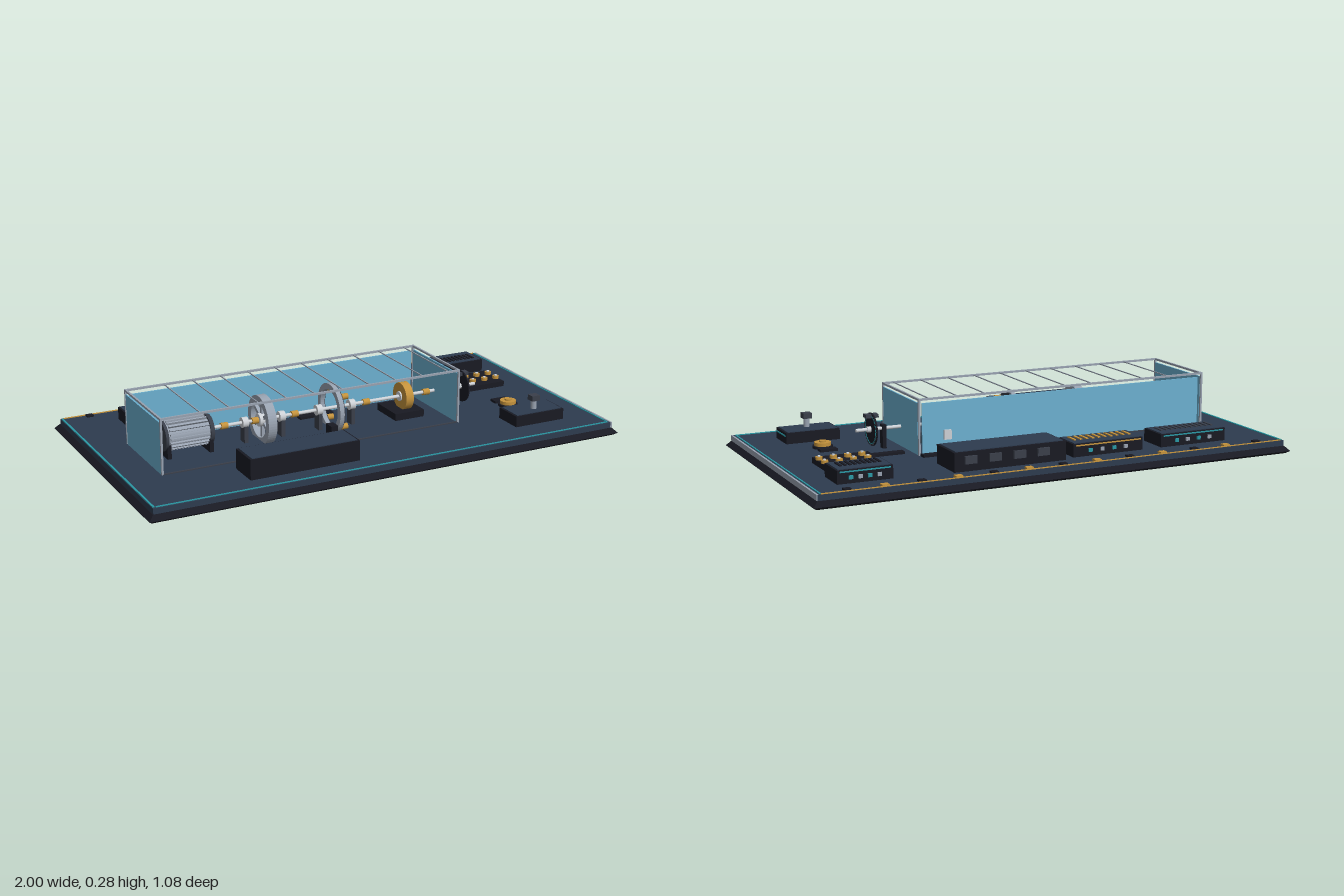
import * as THREE from 'three';

export function createModel() {
  const root = new THREE.Group();
  const mat = (name, color, side = THREE.FrontSide) => {
    const m = new THREE.MeshStandardMaterial({ color, side });
    m.name = name;
    return m;
  };
  const black = mat('black', 0x191a23);
  const navy = mat('navy', 0x2d3b4f);
  const glass = mat('glass blue', 0x6cb0d0, THREE.DoubleSide);
  const steel = mat('steel', 0x98a2b0);
  const silver = mat('silver', 0xccd0d5);
  const gold = mat('brass', 0xc3923c);
  const teal = mat('teal', 0x2a98a4);
  const gray = mat('dark grey', 0x3a3f4a);

  const add = (name, geo, m, x = 0, y = 0, z = 0, parent = root) => {
    const mesh = new THREE.Mesh(geo, m);
    mesh.name = name;
    mesh.position.set(x, y, z);
    parent.add(mesh);
    return mesh;
  };
  // Box given by its limits on each axis
  const box = (name, m, x0, x1, y0, y1, z0, z1) =>
    add(name, new THREE.BoxGeometry(x1 - x0, y1 - y0, z1 - z0), m, (x0 + x1) / 2, (y0 + y1) / 2, (z0 + z1) / 2);
  // Slab whose bottom and top have different half sizes
  const slab = (name, m, y0, y1, bx, bz, tx, tz) => {
    const g = new THREE.BoxGeometry(2, y1 - y0, 2);
    const p = g.attributes.position;
    for (let i = 0; i < p.count; i++) {
      const top = p.getY(i) > 0;
      p.setX(i, p.getX(i) * (top ? tx : bx));
      p.setZ(i, p.getZ(i) * (top ? tz : bz));
    }
    g.computeVertexNormals();
    return add(name, g, m, 0, (y0 + y1) / 2, 0);
  };
  const AY = 0.135, AZ = 0.052, FLOOR = 0.056;
  // Cylinder along the drive axis
  const axial = (name, m, x0, x1, r, y = AY, z = AZ, seg = 32) => {
    const g = new THREE.CylinderGeometry(r, r, x1 - x0, seg).rotateZ(Math.PI / 2);
    return add(name, g, m, (x0 + x1) / 2, y, z);
  };
  // Flat ring with a hole, facing along the drive axis
  const ring = (name, m, x0, x1, rOut, rIn) => {
    const s = new THREE.Shape().absarc(0, 0, rOut, 0, Math.PI * 2);
    s.holes.push(new THREE.Path().absarc(0, 0, rIn, 0, Math.PI * 2, true));
    const g = new THREE.ExtrudeGeometry(s, { depth: x1 - x0, bevelEnabled: false, curveSegments: 28 });
    return add(name, g.rotateY(Math.PI / 2), m, x0, AY, AZ);
  };
  const upright = (name, m, x, y0, y1, z, r, seg = 20) =>
    add(name, new THREE.CylinderGeometry(r, r, y1 - y0, seg), m, x, (y0 + y1) / 2, z);

  // Base plinth, feet and deck
  slab('plinthLower', black, 0.004, 0.014, 0.985, 0.525, 1, 0.538);
  slab('plinthUpper', black, 0.014, 0.034, 1, 0.538, 0.98, 0.522);
  for (const sx of [-1, 1]) for (const sz of [-1, 1])
    upright('foot', black, sx * 0.92, 0, 0.006, sz * 0.46, 0.035);
  slab('deck', navy, 0.034, FLOOR, 0.978, 0.52, 0.978, 0.52);
  box('rightEdgeRail', steel, 0.974, 0.982, 0.035, 0.057, -0.52, 0.52);
  box('rightTrim', teal, 0.962, 0.968, FLOOR, 0.059, -0.51, 0.51);
  box('leftTrim', teal, -0.976, -0.968, FLOOR, 0.059, -0.51, 0.51);
  box('frontTrim', teal, -0.965, 0.965, FLOOR, 0.059, 0.507, 0.513);
  box('backTrim', gold, -0.965, 0.965, FLOOR, 0.059, -0.517, -0.511);
  for (let i = -6; i <= 6; i++) {
    const x = i * 0.1435;
    box('edgeContact', i % 2 ? gold : black, x - 0.014, x + 0.014, FLOOR, 0.063, -0.509, -0.485);
  }

  // Guard enclosure: three panels in a thin frame, open front and roof bars
  const X0 = -0.833, X1 = 0.43, Z0 = -0.13, Z1 = 0.238, TOP = 0.274, T = 0.004;
  box('backPanel', glass, X0 + 0.014, X1 - 0.014, FLOOR, 0.258, Z0 + 0.004, Z0 + 0.01);
  for (const x of [X0, X1])
    box('endPanel', glass, x - 0.003, x + 0.003, FLOOR, 0.26, Z0 + 0.008, Z1 - 0.002);
  for (const x of [X0, X1]) {
    for (const z of [Z0, Z1]) box('framePost', steel, x - T, x + T, FLOOR, TOP, z - T, z + T);
    box('frameEndRail', steel, x - T, x + T, TOP - T, TOP + T, Z0 - T, Z1 + T);
  }
  for (const z of [Z0, Z1]) {
    box('frameTopRail', steel, X0, X1, TOP - T, TOP + T, z - T, z + T);
    box('frameFloorRail', gray, X0, X1, FLOOR, 0.06, z - T, z + T);
  }
  for (let i = 0; i < 10; i++) {
    const x = -0.675 + i * 0.1178;
    box('roofBar', steel, x - 0.002, x + 0.002, 0.272, 0.276, Z0, Z1);
  }
  box('panelLatch', silver, 0.3, 0.33, 0.11, 0.148, -0.143, -0.134);

  // Motor with cooling fins, end caps and mounts
  axial('motorBody', steel, -0.755, -0.575, 0.05);
  for (let i = 0; i < 20; i++) {
    const a = i * Math.PI / 10;
    const fin = add('motorFin', new THREE.BoxGeometry(0.16, 0.012, 0.006), steel,
      -0.665, AY + Math.sin(a) * 0.053, AZ + Math.cos(a) * 0.053);
    fin.rotation.x = Math.PI / 2 - a;
  }
  axial('motorRearCap', gray, -0.764, -0.752, 0.058);
  axial('motorFrontCap', gray, -0.582, -0.566, 0.058);
  for (const x of [-0.75, -0.578])
    box('motorMount', black, x - 0.008, x + 0.008, FLOOR, 0.11, AZ - 0.05, AZ + 0.05);

  // Drive shaft with couplings and collars
  axial('shaft', silver, -0.57, 0.62, 0.007, AY, AZ, 20);
  for (const x of [-0.505, -0.375, -0.205, 0.112, 0.388]) axial('brassCoupling', gold, x - 0.014, x + 0.014, 0.013);
  for (const x of [-0.42, -0.262, -0.1, 0.046]) {
    axial('bearingCollar', silver, x - 0.012, x + 0.012, 0.021);
    box('bearingStand', gray, x - 0.008, x + 0.008, FLOOR, AY - 0.014, AZ - 0.02, AZ + 0.02);
  }

  // Flywheel with spokes
  ring('flywheelRim', steel, -0.36, -0.324, 0.098, 0.07);
  axial('flywheelHub', silver, -0.362, -0.322, 0.026);
  for (let i = 0; i < 3; i++)
    add('flywheelSpoke', new THREE.BoxGeometry(0.014, 0.15, 0.014), steel, -0.342, AY, AZ).rotation.x = i * Math.PI / 3;

  // Sensor ring with brass pickups
  ring('sensorRing', steel, -0.053, -0.034, 0.1, 0.076);
  ring('sensorRingFace', gray, -0.034, -0.03, 0.097, 0.08);
  box('sensorFoot', black, -0.1, -0.07, FLOOR, 0.1, 0.12, 0.165);
  for (let i = 0; i < 4; i++) {
    const a = Math.PI / 4 + i * Math.PI / 2;
    axial('ringPickup', gold, -0.03, -0.004, 0.012, AY + Math.sin(a) * 0.088, AZ + Math.cos(a) * 0.088, 16);
  }

  // Brass bearing on a pedestal
  box('bearingPedestal', black, 0.215, 0.345, FLOOR, 0.085, -0.038, 0.115);
  axial('brassBearing', gold, 0.268, 0.302, 0.056);
  axial('bearingBore', silver, 0.262, 0.308, 0.02);

  // Encoder disc outside the guard, with its fork sensor
  axial('encoderDisc', black, 0.553, 0.559, 0.065);
  ring('encoderTrack', teal, 0.559, 0.5605, 0.057, 0.054);
  for (let i = 0; i < 24; i++) {
    const a = i * Math.PI / 12;
    const t = add('encoderMark', new THREE.BoxGeometry(0.002, 0.006, 0.004), gray,
      0.56, AY + Math.cos(a) * 0.061, AZ + Math.sin(a) * 0.061);
    t.rotation.x = a;
  }
  axial('encoderHub', silver, 0.54, 0.575, 0.012);
  box('forkSensor', gray, 0.53, 0.582, 0.182, 0.196, AZ - 0.016, AZ + 0.016);
  box('shaftSupport', black, 0.498, 0.514, FLOOR, 0.15, AZ - 0.014, AZ + 0.014);

  // Front equipment case
  box('frontCase', black, -0.565, -0.115, FLOOR, 0.136, 0.302, 0.434);
  box('frontCaseLid', navy, -0.557, -0.123, 0.136, 0.139, 0.31, 0.428);

  // Rear modules with vent bars and indicator strips
  const module = (x0, x1, bars, n, strip) => {
    box('moduleCase', black, x0, x1, FLOOR, 0.107, -0.415, -0.285);
    box('moduleLid', navy, x0 + 0.006, x1 - 0.006, 0.107, 0.11, -0.408, -0.291);
    box('moduleStrip', strip, x0 + 0.01, x1 - 0.01, 0.098, 0.103, -0.418, -0.415);
    const a = x0 + 0.032, step = (x1 - x0 - 0.064) / (n - 1);
    for (let i = 0; i < n; i++)
      box('ventBar', bars, a + i * step - 0.005, a + i * step + 0.005, 0.11, 0.114, -0.367, -0.31);
    for (let i = 0; i < 4; i++) {
      const x = x0 + (x1 - x0) * (0.25 + i * 0.17);
      box('moduleSocket', i % 2 ? teal : steel, x - 0.008, x + 0.008, 0.072, 0.086, -0.421, -0.415);
    }
  };
  module(-0.768, -0.474, gray, 11, teal);
  module(-0.39, -0.086, gold, 10, gold);
  module(0.652, 0.868, black, 9, teal);
  box('controllerCase', black, -0.042, 0.42, FLOOR, 0.13, -0.437, -0.275);
  box('controllerLid', navy, -0.034, 0.412, 0.13, 0.133, -0.428, -0.282);
  for (let i = 0; i < 4; i++)
    box('controllerSocket', gray, 0.03 + i * 0.1, 0.08 + i * 0.1, 0.085, 0.115, -0.446, -0.437);

  // Terminal block with eight brass posts
  box('terminalBlock', black, 0.615, 0.84, FLOOR, 0.078, -0.222, -0.062);
  for (let i = 0; i < 4; i++) for (const z of [-0.174, -0.112]) {
    upright('terminalPost', gold, 0.658 + i * 0.057, 0.078, 0.09, z, 0.014, 12);
    upright('terminalScrew', silver, 0.658 + i * 0.057, 0.09, 0.094, z, 0.006, 10);
  }

  // Control box with lever, and the brass push button
  box('controlBox', black, 0.607, 0.83, FLOOR, 0.1, 0.27, 0.396);
  box('controlBoxLid', navy, 0.614, 0.823, 0.1, 0.103, 0.277, 0.389);
  box('controlBoxStrip', teal, 0.83, 0.833, 0.085, 0.09, 0.28, 0.386);
  upright('leverStem', steel, 0.72, 0.103, 0.138, 0.345, 0.012);
  box('leverKnob', gray, 0.702, 0.738, 0.138, 0.16, 0.328, 0.362);
  upright('buttonBase', black, 0.72, FLOOR, 0.066, 0.157, 0.04, 28);
  upright('buttonCap', gold, 0.72, 0.066, 0.08, 0.157, 0.033, 28);
  upright('buttonTop', gold, 0.72, 0.08, 0.086, 0.157, 0.014);

  // Small dark plates on the deck
  for (const [x0, x1, z0, z1] of [[-0.735, -0.59, -0.082, -0.048], [-0.12, 0.03, -0.104, -0.07],
    [0.345, 0.43, -0.172, -0.142], [0.47, 0.645, -0.082, -0.05], [0.685, 0.755, 0.08, 0.118]])
    box('deckPlate', black, x0, x1, FLOOR, 0.066, z0, z1);

  return root;
}
